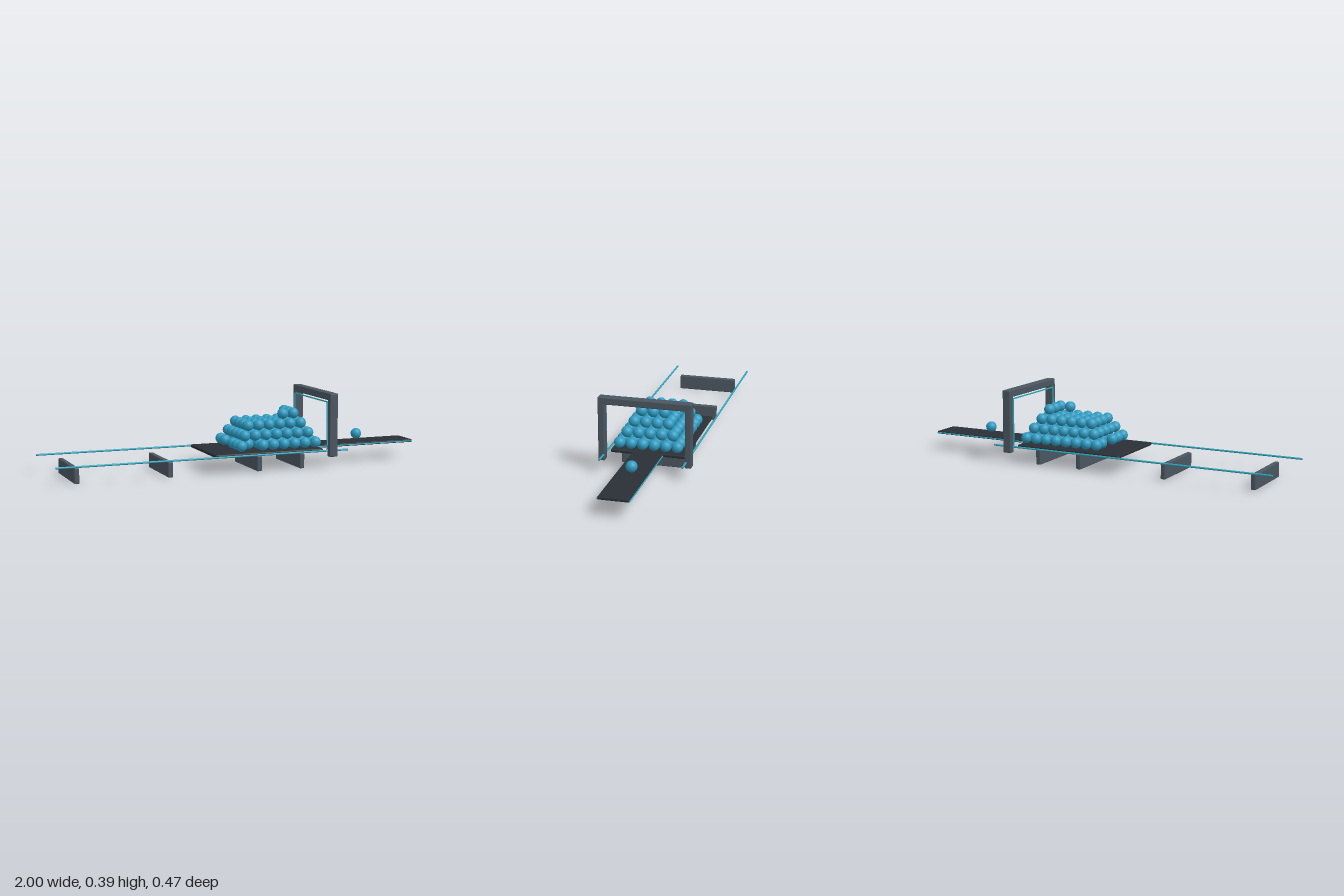
import * as THREE from 'three';
import { RoundedBoxGeometry } from 'three/addons/geometries/RoundedBoxGeometry.js';

const mat = (name, color) => {
  const m = new THREE.MeshStandardMaterial({ color });
  m.name = name;
  return m;
};

export function createModel() {
  const steel = mat('slate grey', 0x4b5660);
  const dark = mat('dark charcoal', 0x2a3037);
  const blue = mat('ball blue', 0x2f9cc2);
  const teal = mat('light teal', 0x2fa6bd);
  const model = new THREE.Group();

  const add = (name, geometry, material, x, y, z, parent = model) => {
    const m = new THREE.Mesh(geometry, material);
    m.name = name;
    m.position.set(x, y, z);
    parent.add(m);
    return m;
  };
  const box = (w, h, d, r) => new RoundedBoxGeometry(w, h, d, 3, r);

  // Cross supports standing on the ground
  for (const x of [-0.885, -0.405, 0.075, 0.313])
    add('crossSupport', box(0.026, 0.078, 0.322, 0.005), steel, x, 0.039, 0);

  // Wide tray and narrow outgoing track
  add('tray', box(0.595, 0.017, 0.382, 0.007), dark, 0.122, 0.0945, 0);
  add('track', box(0.6, 0.015, 0.153, 0.004), dark, 0.7, 0.0945, 0);

  // Long side rails and thin track edge rails
  for (const s of [-1, 1]) {
    const rail = add('sideRail', new THREE.CylinderGeometry(0.005, 0.005, 1.55, 12), teal, -0.225, 0.093, s * 0.209);
    rail.rotation.z = Math.PI / 2;
    const edge = add('trackEdgeRail', new THREE.CylinderGeometry(0.0035, 0.0035, 0.58, 10), teal, 0.71, 0.093, s * 0.077);
    edge.rotation.z = Math.PI / 2;
  }

  // Gate with thin light strips on its inner side
  const gate = new THREE.Group();
  gate.name = 'gate';
  model.add(gate);
  add('gateBeam', box(0.045, 0.037, 0.47, 0.005), steel, 0.457, 0.3735, 0, gate);
  for (const s of [-1, 1]) {
    add('gatePost', box(0.045, 0.329, 0.033, 0.005), steel, 0.457, 0.2275, s * 0.219, gate);
    add('gateLightStrip', new THREE.BoxGeometry(0.006, 0.25, 0.006), teal, 0.432, 0.225, s * 0.207, gate);
  }
  add('gateTopLight', new THREE.BoxGeometry(0.006, 0.006, 0.412), teal, 0.432, 0.347, 0, gate);

  // Stacked pyramid of balls, with a few left out
  const ball = new THREE.SphereGeometry(0.0285, 24, 16);
  const step = 0.059;
  const pile = new THREE.Group();
  pile.name = 'ballPile';
  model.add(pile);
  const missing = new Set(['0,0,2', '0,1,5', '3,3,0', '3,3,1']);
  for (let layer = 0; layer < 4; layer++)
    for (let i = layer === 3 ? 3 : 0; i < 8 - layer; i++)
      for (let k = 0; k < 6 - layer; k++) {
        if (missing.has([layer, i, k].join())) continue;
        add('ball', ball, blue, -0.022 + (i + layer / 2) * step, 0.134 + layer * 0.048,
          -0.144 + (k + layer / 2) * step, pile);
      }

  // Single ball on the track
  add('looseBall', ball, blue, 0.7, 0.14, 0);
  return model;
}
